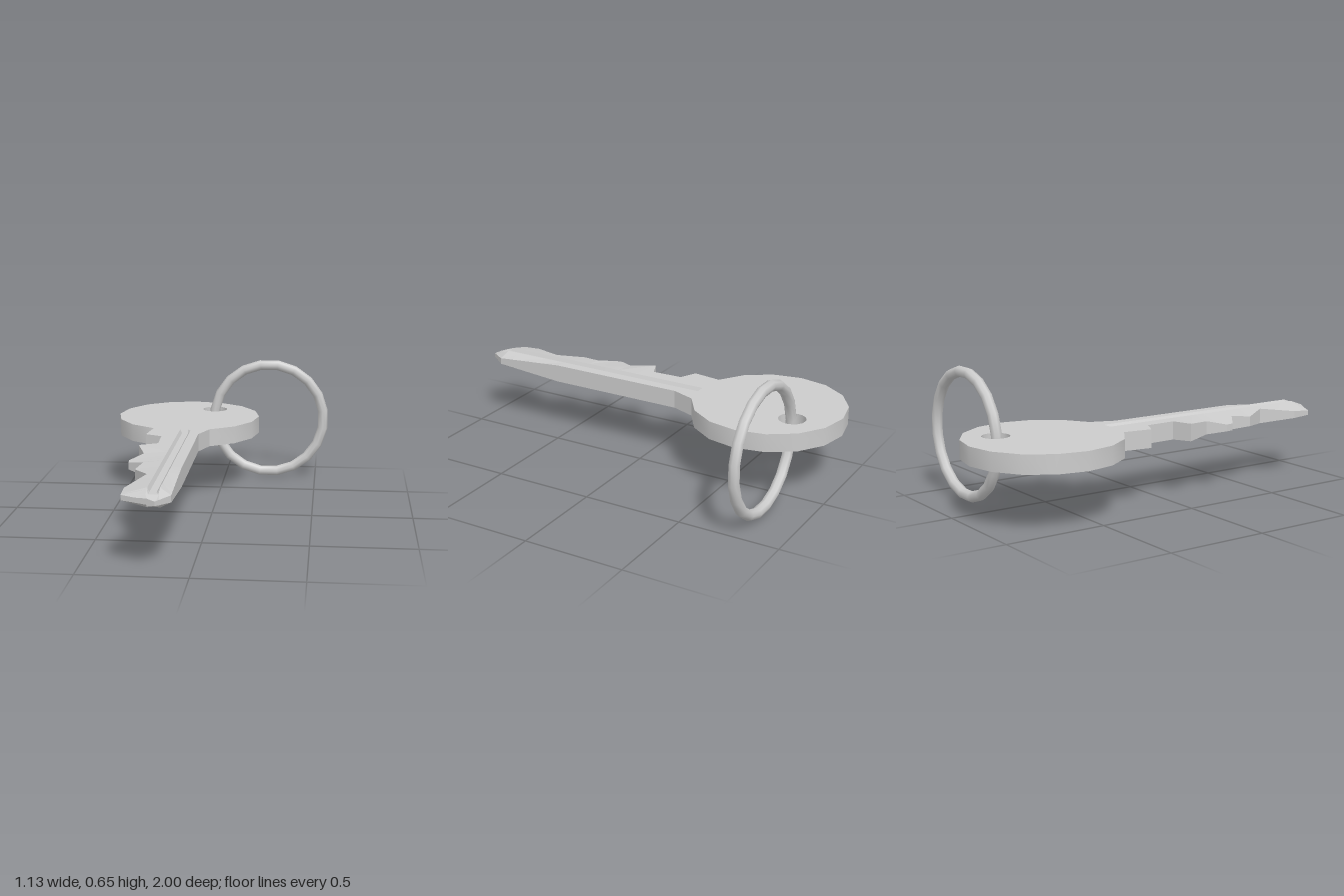
import * as THREE from 'three';
import { toCreasedNormals } from 'three/addons/utils/BufferGeometryUtils.js';

const MID = 0.325; // height of the key's middle plane
const HALF = 0.045; // half the plate thickness

// Linear interpolation through [z, value] pairs
function sample(table, z) {
  if (z <= table[0][0]) return table[0][1];
  for (let i = 1; i < table.length; i++) {
    const [z0, v0] = table[i - 1];
    const [z1, v1] = table[i];
    if (z <= z1) return v0 + ((v1 - v0) * (z - z0)) / (z1 - z0);
  }
  return table[table.length - 1][1];
}

// Round head: sixteen-sided plate with a ring hole, cut flat where the blade joins
function bowGeometry() {
  const points = [];
  for (let i = 0; i < 16; i++) {
    if (i === 12) continue;
    const a = (i * Math.PI) / 8;
    points.push(new THREE.Vector2(-0.185 + 0.38 * Math.cos(a), 0.62 + 0.38 * Math.sin(a)));
  }
  const shape = new THREE.Shape(points);
  const hole = new THREE.Path();
  hole.absarc(-0.06, 0.795, 0.067, 0, Math.PI * 2, true);
  shape.holes.push(hole);
  const geo = new THREE.ExtrudeGeometry(shape, { depth: 2 * HALF, bevelEnabled: false, curveSegments: 8 });
  geo.rotateX(-Math.PI / 2).translate(0, MID - HALF, 0);
  return toCreasedNormals(geo, 0.9);
}

// Toothed edge: [z, x, half thickness]
const teeth = [
  [-0.269, -0.33, 0.045], [-0.125, -0.35, 0.045], [-0.085, -0.265, 0.045],
  [0.07, -0.26, 0.045], [0.11, -0.35, 0.043], [0.24, -0.305, 0.033],
  [0.32, -0.365, 0.017], [0.36, -0.36, 0.017], [0.42, -0.28, 0.034],
  [0.52, -0.305, 0.025], [0.65, -0.23, 0.038], [0.82, -0.305, 0.018],
  [0.915, -0.305, 0.012], [1, -0.145, 0.01],
];
const leftX = teeth.map(([z, x]) => [z, x]);
const leftH = teeth.map(([z, , h]) => [z, h]);
const rightX = [[-0.269, -0.04], [-0.15, -0.085], [0.915, -0.085], [1, -0.145]];
const rightH = [[0.55, HALF], [0.915, 0.016], [1, 0.01]];
const bodyH = [[0.9, HALF], [1, 0.01]];

// Blade: cross-sections with a groove on both faces, lofted along z
function bladeGeometry() {
  const stations = [...teeth.map((t) => t[0]), -0.25, -0.245, -0.15, 0.55, 0.9, 0.95, 0.98].sort((a, b) => a - b);
  const sections = stations.map((z) => {
    const xl = sample(leftX, z);
    const xr = sample(rightX, z);
    const h = sample(bodyH, z);
    const floor = z > -0.248 ? Math.min(h, 0.027) : h;
    const top = [
      [xl, Math.min(h, sample(leftH, z))],
      [-0.19, h], [-0.18, floor], [-0.148, floor], [-0.135, h],
      [xr, Math.min(h, sample(rightH, z))],
    ].map(([x, y]) => [Math.min(xr, Math.max(xl, x)), y]);
    const bottom = top.map(([x, y]) => [x, -y]).reverse();
    return [...top, ...bottom].map(([x, y]) => [x, MID + y, z]);
  });
  const pos = [];
  for (let i = 0; i + 1 < sections.length; i++) {
    const s = sections[i];
    const t = sections[i + 1];
    for (let k = 0; k < s.length; k++) {
      const n = (k + 1) % s.length;
      pos.push(...s[k], ...t[k], ...t[n], ...s[k], ...t[n], ...s[n]);
    }
  }
  const geo = new THREE.BufferGeometry();
  geo.setAttribute('position', new THREE.Float32BufferAttribute(pos, 3));
  return toCreasedNormals(geo, 0.1);
}

export function createModel() {
  const group = new THREE.Group();
  group.name = 'keyWithRing';
  const material = new THREE.MeshStandardMaterial({ color: 0xcccccc });
  const add = (name, geometry) => {
    const mesh = new THREE.Mesh(geometry, material);
    mesh.name = name;
    group.add(mesh);
    return mesh;
  };

  add('bow', bowGeometry());
  add('blade', bladeGeometry());

  // Ring through the hole, turned so a flat segment sits at top and bottom
  const ring = add('keyRing', new THREE.TorusGeometry(0.302, 0.027, 8, 20));
  ring.rotation.z = Math.PI / 20;
  ring.position.set(0.24, MID, -0.79);

  return group;
}
